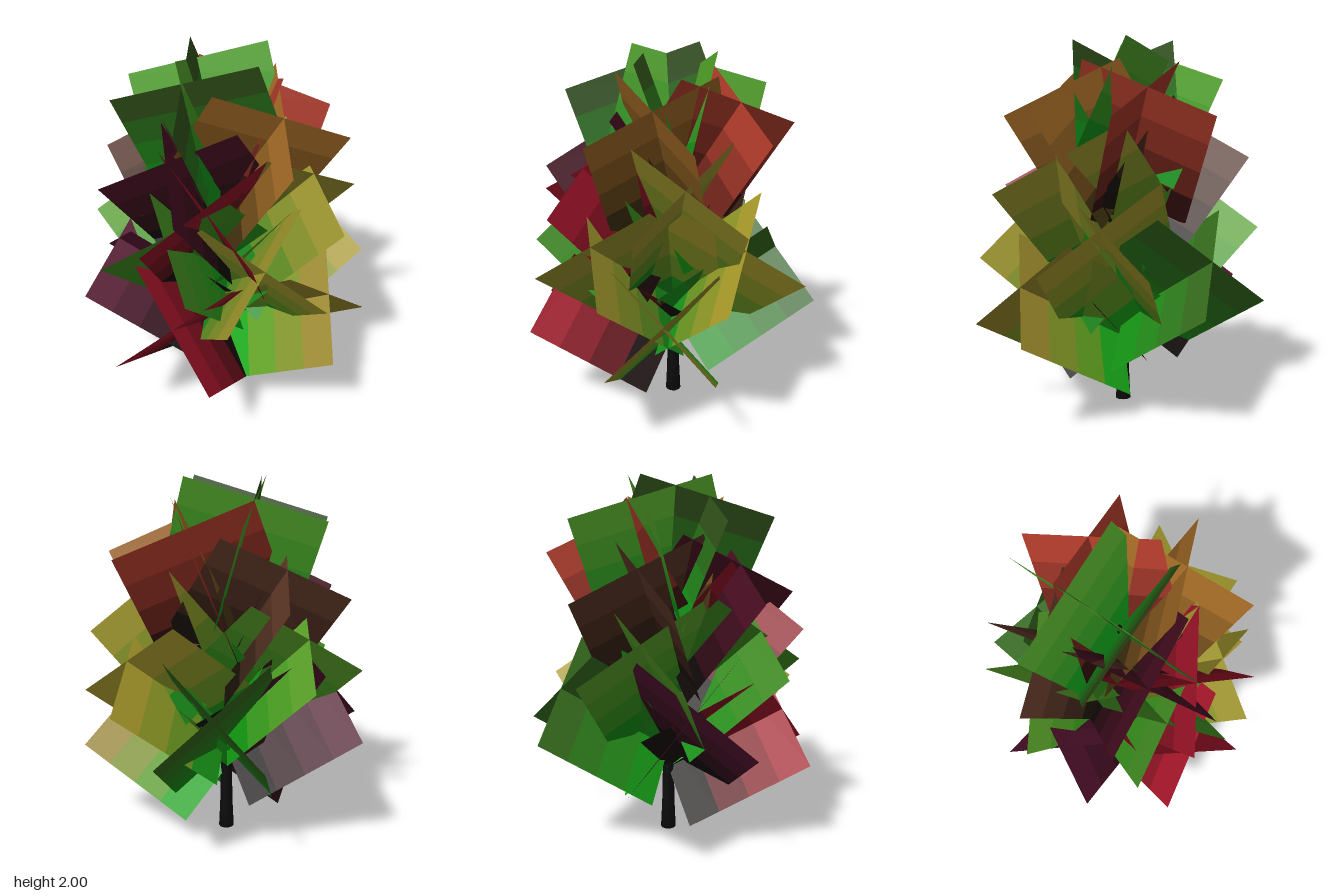
import * as THREE from 'three';
import { mergeGeometries } from 'three/addons/utils/BufferGeometryUtils.js';

const CARD_WIDTH = 0.77;
const STRIPS = 4;

// One spray: two flat cards crossing at right angles along an axis that leaves the trunk.
// The colour fades from the trunk to the tip in a few strips.
function makeSpray(baseY, tipY, tipRadius, azimuth, innerColor, outerColor) {
  const spray = new THREE.Group();
  spray.name = 'leafSpray';
  const length = Math.hypot(tipRadius, tipY - baseY);
  const elevation = Math.atan2(tipY - baseY, tipRadius);
  const step = length / STRIPS;
  for (let i = 0; i < STRIPS; i++) {
    const cards = [1, -1].map((side) =>
      new THREE.PlaneGeometry(CARD_WIDTH, step)
        .rotateY(side * Math.PI / 4)
        .translate(0, (i + 0.5) * step, 0));
    const color = new THREE.Color(innerColor).lerp(new THREE.Color(outerColor), i / (STRIPS - 1));
    const strip = new THREE.Mesh(
      mergeGeometries(cards),
      new THREE.MeshStandardMaterial({ color, side: THREE.DoubleSide }));
    strip.name = 'leafCards';
    spray.add(strip);
  }
  // Tilt the axis outwards, then turn it around the trunk.
  spray.rotation.order = 'YXZ';
  spray.rotation.y = -THREE.MathUtils.degToRad(azimuth);
  spray.rotation.z = elevation - Math.PI / 2;
  spray.position.y = baseY;
  return spray;
}

export function createModel() {
  const tree = new THREE.Group();
  tree.name = 'tree';

  // Tapered trunk with a slight flare at the foot
  const profile = [[0, 0], [0.043, 0], [0.036, 0.15], [0.031, 0.4], [0.022, 0.9], [0.012, 1.4], [0, 1.42]]
    .map(([r, y]) => new THREE.Vector2(r, y));
  const trunk = new THREE.Mesh(
    new THREE.LatheGeometry(profile, 10),
    new THREE.MeshStandardMaterial({ color: 0x0c0c0e }));
  trunk.name = 'trunk';
  tree.add(trunk);

  // Foliage tiers from bottom to top, each with two sprays:
  // [base height, tip height, tip radius, [azimuth from +x towards +z, inner, outer colour] x 2]
  const tiers = [
    [0.36, 0.72, 0.64, [38, 0x18a818, 0x98862a], [127, 0x180808, 0xa01428]],
    [0.48, 0.86, 0.60, [292, 0x149014, 0x33681c], [200, 0x100808, 0x561230]],
    [0.60, 1.05, 0.57, [353, 0x189018, 0xa89a2a], [81, 0x188818, 0x98902a]],
    [0.70, 1.18, 0.515, [138, 0x109010, 0x3f8a20], [229, 0x109010, 0x58a028]],
    [0.85, 1.38, 0.485, [26, 0x148014, 0x98902a], [114, 0x180808, 0x901024]],
    [1.00, 1.54, 0.41, [146, 0x100808, 0x460c20], [236, 0x181008, 0x5a3424]],
    [1.16, 1.74, 0.365, [322, 0x300c0c, 0xa83828], [49, 0x403010, 0xa06824]],
    [1.33, 1.89, 0.25, [155, 0x109018, 0x2f5018], [249, 0x109018, 0x50a028]],
  ];
  const foliage = new THREE.Group();
  foliage.name = 'foliage';
  for (const [baseY, tipY, radius, ...sprays] of tiers) {
    for (const [azimuth, inner, outer] of sprays) {
      foliage.add(makeSpray(baseY, tipY, radius, azimuth, inner, outer));
    }
  }
  tree.add(foliage);
  return tree;
}
